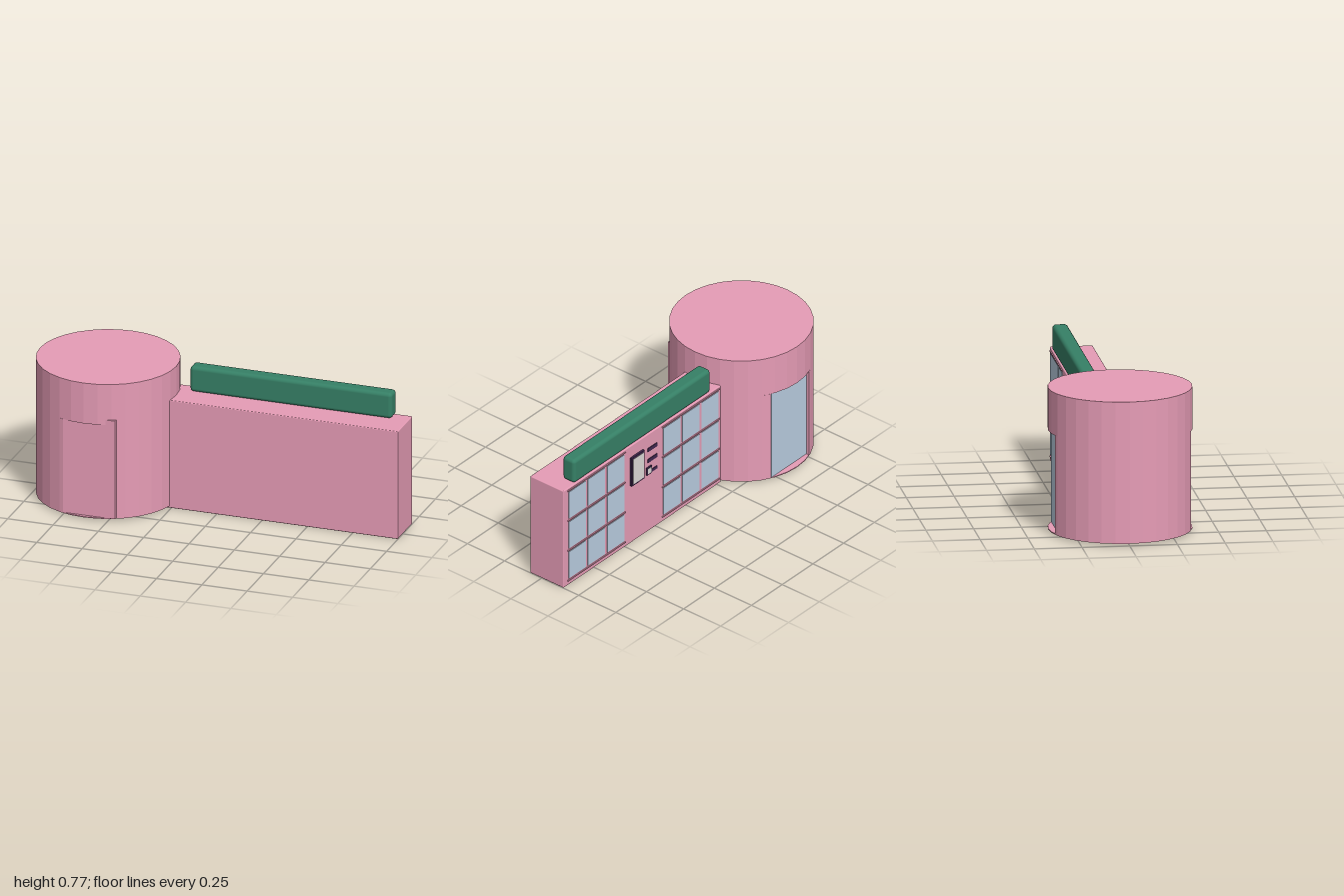
import * as THREE from 'three';
import { RoundedBoxGeometry } from 'three/addons/geometries/RoundedBoxGeometry.js';

const mat = (name, color) => {
  const m = new THREE.MeshStandardMaterial({ color });
  m.name = name;
  return m;
};

export function createModel() {
  const root = new THREE.Group();
  root.name = 'building';
  const pink = mat('pink wall', 0xe69cb6);
  const green = mat('green sign', 0x368066);
  const glass = mat('blue grey glass', 0xb9cde0);
  const dark = mat('dark frame', 0x40264f);
  const pale = mat('pale grey panel', 0xdedad8);
  const purple = mat('purple strip', 0x6c40de);

  const add = (name, geometry, material, parent = root) => {
    const mesh = new THREE.Mesh(geometry, material);
    mesh.name = name;
    parent.add(mesh);
    return mesh;
  };
  // box given by its limits on each axis, optionally rounded
  const box = (name, [x0, x1], [y0, y1], [z0, z1], material, radius = 0, parent = root) => {
    const s = [x1 - x0, y1 - y0, z1 - z0];
    const g = radius ? new RoundedBoxGeometry(...s, 3, radius) : new THREE.BoxGeometry(...s);
    add(name, g, material, parent).position.set((x0 + x1) / 2, (y0 + y1) / 2, (z0 + z1) / 2);
  };

  // long wing and roof sign
  box('wing', [-0.28, 1], [0, 0.605], [-0.147, 0.078], pink, 0.005);
  box('roofSign', [-0.2, 0.913], [0.605, 0.747], [-0.147, -0.066], green, 0.02);

  // round tower: full drum above and a body with door openings below
  const tower = new THREE.Group();
  tower.name = 'tower';
  tower.position.x = -0.625;
  root.add(tower);
  const R = 0.376, SEG = 32, FLAT = 0.356;
  const halfChord = Math.sqrt(R * R - FLAT * FLAT);
  const NICHE = { x0: -0.121, x1: 0.165, z: 0.337 };
  const circle = Array.from({ length: SEG }, (_, i) => {
    const a = (i / SEG) * Math.PI * 2;
    return new THREE.Vector2(R * Math.cos(a), R * Math.sin(a));
  });
  // plan outline with a flat front (-y) and a stepped-in niche at the back (+y)
  const bodyOutline = circle.flatMap((p, i) => {
    if (p.y < -FLAT) {
      return [new THREE.Vector2(Math.abs(p.x) < 1e-6 ? 0 : Math.sign(p.x) * halfChord, -FLAT)];
    }
    if (i === SEG / 4) {
      return [[NICHE.x1, NICHE.z], [NICHE.x0, NICHE.z], [NICHE.x0, FLAT]].map(q => new THREE.Vector2(...q));
    }
    return p.y > 0 && p.x > NICHE.x0 && p.x < NICHE.x1 ? [] : [p];
  });
  const drum = (name, y0, y1, outline) => {
    const g = new THREE.ExtrudeGeometry(new THREE.Shape(outline), { depth: y1 - y0, bevelEnabled: false });
    g.rotateX(-Math.PI / 2);
    add(name, g, pink, tower).position.y = y0;
  };
  drum('towerTop', 0.54, 0.767, circle);
  drum('towerBody', 0.017, 0.54, bodyOutline);
  drum('towerFloor', 0.012, 0.017, circle);

  // front door slab standing proud at one end, glass set into the back niche
  box('frontDoor', [-0.1, 0.165], [0.017, 0.568], [0.3, 0.357], pink, 0, tower);
  box('backDoorGlass', [NICHE.x0, NICHE.x1], [0.018, 0.539], [-0.339, -0.335], glass, 0, tower);
  box('undersideStrip', [-0.25, -0.115], [0.011, 0.014], [-0.274, 0.274], purple, 0, tower);

  // two banks of windows on the back, three by three, with rails between rows
  for (const x0 of [0.5, -0.268]) {
    const bank = new THREE.Group();
    bank.name = 'windowBank';
    root.add(bank);
    const w = 0.156, h = 0.187, bottom = 0.03;
    for (let c = 0; c < 3; c++) {
      for (let r = 0; r < 3; r++) {
        const x = x0 + c * w, y = bottom + r * h;
        box('windowPane', [x + 0.009, x + w - 0.009], [y + 0.011, y + h - 0.011], [-0.15, -0.146], glass, 0, bank);
      }
    }
    for (let r = 0; r < 4; r++) {
      const y = bottom + r * h;
      box('windowRail', [x0, x0 + 3 * w], [y - 0.003, y + 0.003], [-0.153, -0.146], pink, 0, bank);
    }
  }

  // notice board and small plaques between the banks
  box('boardFrame', [0.352, 0.458], [0.357, 0.535], [-0.159, -0.146], dark, 0.003);
  box('boardPanel', [0.362, 0.448], [0.368, 0.524], [-0.161, -0.157], pale);
  for (const y of [0.44, 0.508]) {
    box('plaque', [0.24, 0.316], [y - 0.011, y + 0.011], [-0.151, -0.146], dark);
  }
  box('boxFrame', [0.288, 0.328], [0.357, 0.403], [-0.154, -0.146], dark);
  box('boxPanel', [0.294, 0.322], [0.364, 0.396], [-0.156, -0.153], pale);
  box('smallPlaque', [0.24, 0.284], [0.358, 0.375], [-0.151, -0.146], dark);

  return root;
}
